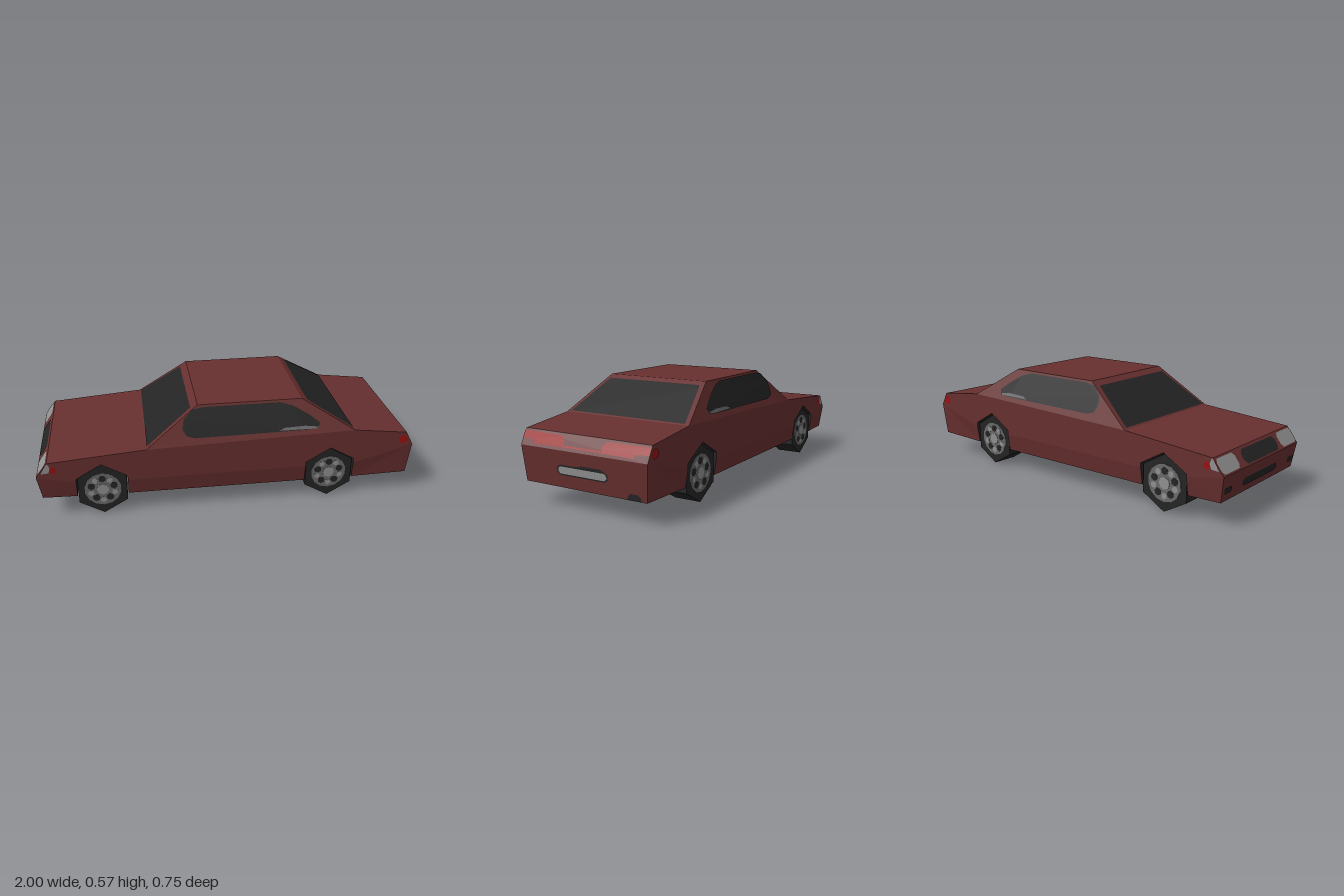
import * as THREE from 'three';

const mat = (name, color) => Object.assign(new THREE.MeshStandardMaterial({ color }), { name });

// Flat faces, each given as a corner loop plus a rough outward direction
function faceMesh(name, material, faces) {
  const pos = [];
  for (const [pts, out] of faces) {
    const v = pts.map(p => new THREE.Vector3(...p));
    const o = new THREE.Vector3(...out);
    const drop = [0, 1, 2].sort((i, j) => Math.abs(out[j]) - Math.abs(out[i]))[0];
    const [i, j] = [0, 1, 2].filter(k => k !== drop);
    const flat = pts.map(p => new THREE.Vector2(p[i], p[j]));
    for (const t of THREE.ShapeUtils.triangulateShape(flat, [])) {
      const [a, b, c] = t.map(k => v[k]);
      const n = b.clone().sub(a).cross(c.clone().sub(a));
      for (const q of n.dot(o) < 0 ? [a, c, b] : [a, b, c]) pos.push(q.x, q.y, q.z);
    }
  }
  const g = new THREE.BufferGeometry();
  g.setAttribute('position', new THREE.Float32BufferAttribute(pos, 3));
  g.computeVertexNormals();
  const m = new THREE.Mesh(g, material);
  m.name = name;
  return m;
}

// Full-width strip faces between neighbouring profile points [x, y, halfWidth]
const strip = (profile, outAt) => profile.slice(1).map((b, i) => {
  const a = profile[i];
  return [[[a[0], a[1], a[2]], [b[0], b[1], b[2]], [b[0], b[1], -b[2]], [a[0], a[1], -a[2]]], outAt(a, b)];
});

// Rectangle with cut corners, in (z, y)
const rounded = (z0, z1, y0, y1, c = 0.015) => [
  [z0 + c, y0], [z1 - c, y0], [z1, y0 + c], [z1, y1 - c],
  [z1 - c, y1], [z0 + c, y1], [z0, y1 - c], [z0, y0 + c]];

// Painted plate on a full-width face running from a to b in (x, y)
function plate(name, material, [a, b], dir, pts, lift = 0.003) {
  const d = new THREE.Vector2(b[0] - a[0], b[1] - a[1]).normalize();
  const n = new THREE.Vector2(d.y, -d.x);
  if (n.x * dir < 0) n.negate();
  const loop = pts.map(([z, y]) => {
    const x = a[0] + (b[0] - a[0]) * (y - a[1]) / (b[1] - a[1]);
    return [x + n.x * lift, y + n.y * lift, z];
  });
  return faceMesh(name, material, [[loop, [dir, 0, 0]]]);
}

export function createModel() {
  const car = new THREE.Group();
  car.name = 'car';
  const paint = mat('darkRedPaint', 0x672f2f);
  const black = mat('blackTrim', 0x242424);
  const grey = mat('rimGrey', 0x686868);
  const silver = mat('silver', 0x909090);
  const red = mat('lampRed', 0x9a1010);

  const W = 0.37, L = 0.355, R = 0.295, wheelX = [-0.67, 0.545], arch = 0.1325;
  const noseLow = [[-0.98, 0.12], [-1, 0.25]], noseTop = [[-1, 0.25], [-0.94, 0.33]];
  const tailLow = [[0.985, 0.11], [1, 0.29]], tailTop = [[1, 0.29], [0.96, 0.365]];
  const screen = [[-0.435, 0.37], [-0.16, 0.57]], rearScreen = [[0.67, 0.4], [0.39, 0.57]];

  // Painted skin from nose over the roof to the tail
  const top = [[-0.98, 0.12, L], [-1, 0.25, W], [-0.94, 0.33, W], [-0.435, 0.37, W], [-0.16, 0.57, R],
    [0.39, 0.57, R], [0.67, 0.4, W], [0.96, 0.365, W], [1, 0.29, W], [0.985, 0.11, L]];
  car.add(faceMesh('bodyShell', paint, strip(top, (a, b) => [a[1] - b[1], b[0] - a[0], 0])));

  // Wheel arch outline, front to back
  const archLine = (cx, yFront, yBack) => [
    [cx - arch, yFront, W], [cx - arch, 0.2245, W], [cx, 0.301, W], [cx + arch, 0.2245, W], [cx + arch, yBack, W]];
  const arches = [archLine(wheelX[0], 0.21, 0.2), archLine(wheelX[1], 0.2, 0.2)];

  // Sides: upper panel, inward-sloping sills and cabin side
  const upper = [[-1, 0.25], ...arches[0], ...arches[1], [1, 0.29], [0.96, 0.365], [0.67, 0.4],
    [-0.435, 0.37], [-0.94, 0.33]];
  const [f0, f1, r0, r1] = wheelX.flatMap(x => [x - arch, x + arch]);
  const sills = [
    [[-1, 0.25], [f0, 0.21], [f0, 0.115], [-0.98, 0.12]],
    [[f1, 0.2], [r0, 0.2], [r0, 0.105], [f1, 0.11]],
    [[r1, 0.2], [1, 0.29], [0.985, 0.11], [r1, 0.105]]];
  for (const s of [1, -1]) {
    const out = [0, 0, s], side = s > 0 ? 'left' : 'right';
    const faces = [[upper.map(p => [p[0], p[1], s * W]), out]];
    for (const q of sills) faces.push([q.map((p, i) => [p[0], p[1], s * (i < 2 ? W : L)]), out]);
    faces.push([[[-0.435, 0.37, s * W], [0.67, 0.4, s * W], [0.39, 0.57, s * R], [-0.16, 0.57, s * R]], out]);
    car.add(faceMesh(side + 'Side', paint, faces));

    // Side window following the leaning cabin wall
    const onCabin = ([x, y]) => {
      const base = 0.37 + 0.0271 * (x + 0.435);
      return [x, y, W - (W - R) * (y - base) / (0.57 - base)];
    };
    const lay = (pts, lift) => pts.map(onCabin).map(([x, y, z]) => [x, y, s * (z + lift)]);
    car.add(faceMesh(side + 'Window', black, [[lay([[-0.245, 0.46], [-0.235, 0.505], [-0.19, 0.55],
      [-0.13, 0.56], [0.27, 0.56], [0.34, 0.54], [0.42, 0.495], [0.48, 0.45], [0.47, 0.425],
      [0.4, 0.418], [-0.18, 0.412], [-0.225, 0.425]], 0.004), out]]));
    car.add(faceMesh(side + 'WindowGlint', grey, [[lay([[0.26, 0.423], [0.46, 0.423], [0.47, 0.432],
      [0.4, 0.44], [0.29, 0.436]], 0.007), out]]));

    // Lamps wrapping round the corners
    const spot = (name, m, pts) => car.add(faceMesh(side + name, m,
      [[pts.map(p => [p[0], p[1], s * (W + 0.003)]), out]]));
    const dot = (x, y, r) => Array.from({ length: 8 }, (_, i) =>
      [x + r * Math.cos(i * Math.PI / 4), y + r * Math.sin(i * Math.PI / 4)]);
    spot('HeadlampWrap', silver, [[-0.975, 0.272], [-0.935, 0.275], [-0.925, 0.3], [-0.935, 0.327], [-0.942, 0.327]]);
    spot('FrontMarker', red, dot(-0.912, 0.29, 0.019));
    spot('RearMarker', red, dot(0.945, 0.325, 0.026));

    const mirror = pts => pts.map(([z, y]) => [s * z, y]);
    car.add(plate(side + 'Headlamp', silver, noseTop, -1, mirror(rounded(0.21, 0.368, 0.257, 0.322))));
    car.add(plate(side + 'FogVent', black, noseLow, -1, mirror(rounded(0.28, 0.345, 0.16, 0.19, 0.008))));
    car.add(plate(side + 'TailLamp', red, tailTop, 1, mirror([[0.37, 0.322], [0.3, 0.318], [0.29, 0.302],
      [0.12, 0.303], [0.108, 0.325], [0.13, 0.352], [0.37, 0.355]])));
  }

  // Underside and wheel tunnels
  const floor = [
    [[-0.98, 0.12, L], [f0, 0.115, L]],
    [[f1, 0.11, L], [r0, 0.105, L]],
    [[r1, 0.105, L], [0.985, 0.11, L]]];
  car.add(faceMesh('underside', black, floor.flatMap(p => strip(p, () => [0, -1, 0]))));
  arches.forEach((a, i) => {
    const cx = wheelX[i];
    const line = [[cx - arch, i ? 0.105 : 0.115, L], ...a, [cx + arch, i ? 0.105 : 0.11, L]];
    car.add(faceMesh('wheelTunnel', black, strip(line, (p, q) =>
      [cx - (p[0] + q[0]) / 2, 0.1 - (p[1] + q[1]) / 2, 0])));
  });

  // Screens, grille, intake, tail band, number plate and exhaust
  car.add(plate('windscreen', black, screen, -1, [[-0.348, 0.375], [0.348, 0.375], [0.275, 0.545], [-0.275, 0.545]]));
  car.add(plate('rearWindow', black, rearScreen, 1, [[-0.345, 0.404], [0.345, 0.404], [0.283, 0.54],
    [0.272, 0.551], [-0.272, 0.551], [-0.283, 0.54]]));
  car.add(plate('grille', black, noseTop, -1, rounded(-0.16, 0.18, 0.257, 0.318, 0.02)));
  car.add(plate('intake', black, noseLow, -1, rounded(-0.18, 0.16, 0.155, 0.195)));
  car.add(plate('tailBand', red, tailTop, 1, [[-0.12, 0.304], [0.12, 0.304], [0.12, 0.312], [-0.12, 0.312]]));
  car.add(plate('plateSurround', black, tailLow, 1, [[-0.13, 0.172], [0.13, 0.172], [0.15, 0.185],
    [0.15, 0.21], [0.13, 0.222], [0.04, 0.222], [0, 0.23], [-0.11, 0.23], [-0.148, 0.21], [-0.148, 0.185]]));
  car.add(plate('numberPlate', silver, tailLow, 1, rounded(-0.143, 0.14, 0.18, 0.215, 0.012), 0.006));
  car.add(plate('exhaust', black, tailLow, 1, [[-0.25, 0.112], [-0.33, 0.112], [-0.325, 0.128],
    [-0.31, 0.142], [-0.265, 0.142], [-0.255, 0.128]]));

  // Six-sided wheels with rims showing on both faces
  const disc = (name, m, r, len, n, x = 0, y = 0) => {
    const g = new THREE.CylinderGeometry(r, r, len, n).rotateX(Math.PI / 2).toNonIndexed();
    g.computeVertexNormals();
    const mesh = new THREE.Mesh(g, m);
    mesh.name = name;
    mesh.position.set(x, y, 0);
    return mesh;
  };
  for (const x of wheelX) for (const s of [1, -1]) {
    const wheel = new THREE.Group();
    wheel.name = 'wheel';
    wheel.position.set(x, 0.146, s * 0.2825);
    wheel.add(disc('tyre', black, 0.146, 0.145, 6), disc('rim', grey, 0.096, 0.148, 14),
      disc('hub', silver, 0.032, 0.152, 8));
    for (let i = 0; i < 5; i++) {
      const a = Math.PI / 2 + i * Math.PI * 0.4, b = a + Math.PI * 0.2;
      wheel.add(disc('rimHole', black, 0.02, 0.15, 7, 0.062 * Math.cos(a), 0.062 * Math.sin(a)));
      wheel.add(disc('spokeGlint', silver, 0.017, 0.15, 6, 0.065 * Math.cos(b), 0.065 * Math.sin(b)));
    }
    car.add(wheel);
  }
  return car;
}
